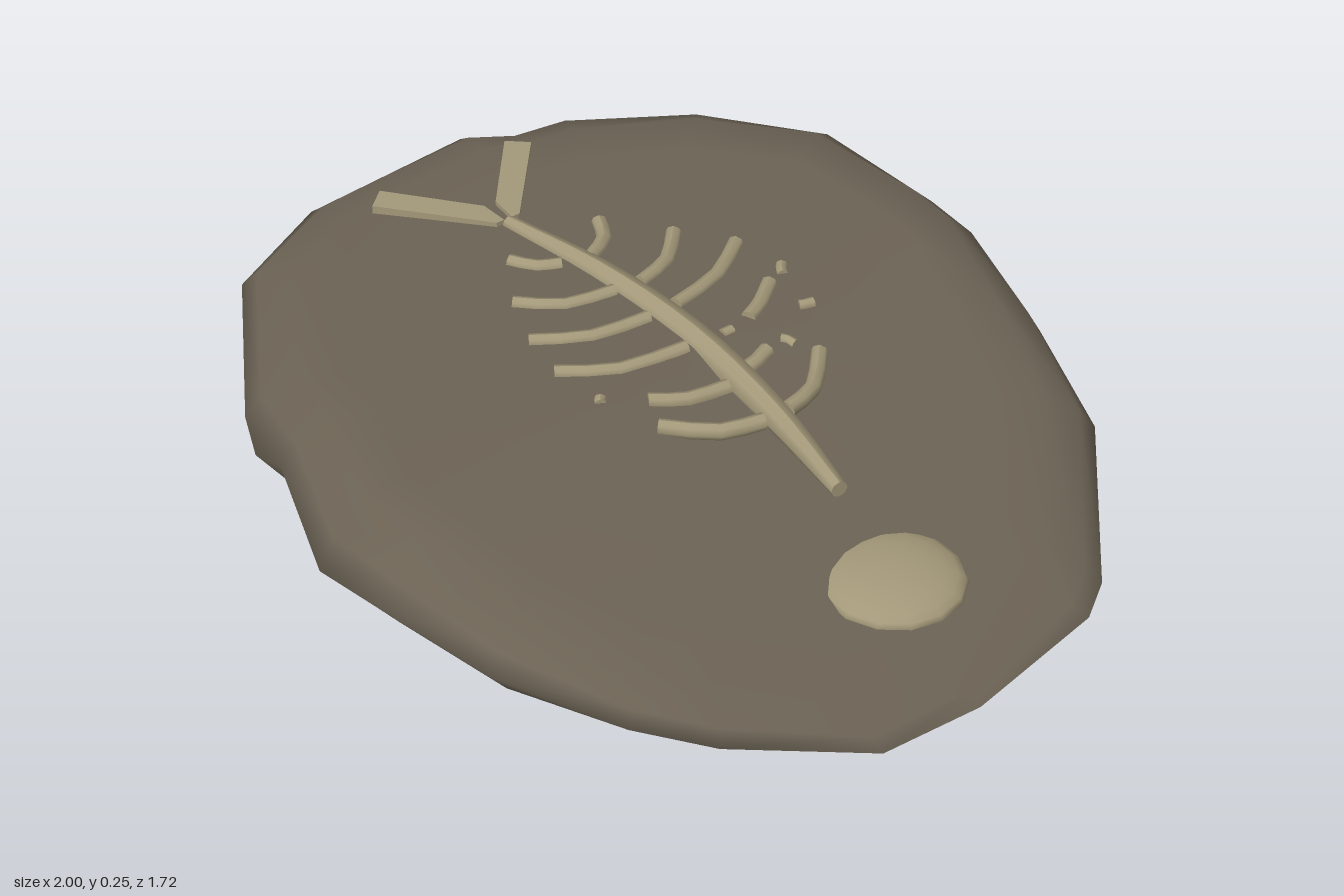
import * as THREE from 'three';

const stone = new THREE.MeshStandardMaterial({ color: 0x6b6254 });
stone.name = 'stone';
const bone = new THREE.MeshStandardMaterial({ color: 0xa39879 });
bone.name = 'bone';

// Slab outline: x, z and height of the rim
const outline = [
  [-0.52, -0.84, 0.1], [-0.17, -0.865, 0.07], [-0.02, -0.855, 0.07], [0.28, -0.76, 0.1],
  [0.56, -0.66, 0.07], [0.88, -0.39, 0.01], [0.94, -0.3, 0.01], [1, 0.03, 0.005],
  [0.99, 0.26, 0.01], [0.82, 0.51, 0.035], [0.7, 0.63, 0.06], [0.45, 0.765, 0.08],
  [0.15, 0.83, 0.08], [-0.01, 0.855, 0.07], [-0.3, 0.765, 0.1], [-0.48, 0.74, 0.1],
  [-0.86, 0.52, 0.12], [-0.98, 0.27, 0.14], [-1, -0.14, 0.16], [-0.95, -0.24, 0.14],
  [-0.93, -0.37, 0.14], [-0.77, -0.64, 0.12],
];

// Height of the slab's upper face
const crest = [[-1, 0.205], [-0.6, 0.212], [-0.1, 0.222], [0.05, 0.222], [0.3, 0.183],
  [0.6, 0.118], [0.7, 0.09], [0.85, 0.05], [1, 0.005]];
function topHeight(x, z) {
  let i = 0;
  while (i < crest.length - 2 && x > crest[i + 1][0]) i++;
  const [x0, y0] = crest[i], [x1, y1] = crest[i + 1];
  return y0 + (y1 - y0) * (x - x0) / (x1 - x0) - 0.025 * z * Math.min(1, 1.5 * (1 - x));
}

// Slab: rings from the centre out to the rim, then an undercut to the flat base
function slabGeometry() {
  const n = outline.length;
  const pos = [0, topHeight(0, 0), 0], index = [];
  const rings = [0.2, 0.4, 0.6, 0.75, 0.87, 0.96, 1];
  for (const t of rings) {
    const mix = t === 1 ? 1 : t > 0.9 ? 0.45 : 0;
    for (const [x, z, rim] of outline) {
      pos.push(x * t, THREE.MathUtils.lerp(topHeight(x * t, z * t), rim, mix), z * t);
    }
  }
  const base = [];
  for (const [x, z] of outline) {
    const s = z > 0.3 && x > -0.4 ? 0.93 : 0.985;
    base.push(x * s, 0, z * s);
  }
  pos.push(...base);
  for (let i = 0; i < n; i++) {
    const j = (i + 1) % n;
    index.push(0, 1 + j, 1 + i);
    for (let r = 0; r < rings.length; r++) {
      const a = 1 + r * n, b = a + n;
      index.push(a + i, a + j, b + j, a + i, b + j, b + i);
    }
  }
  // Base with its own vertices, for a sharp edge
  const start = pos.length / 3;
  pos.push(...base, 0, 0, 0);
  for (let i = 0; i < n; i++) index.push(start + n, start + i, start + (i + 1) % n);
  const g = new THREE.BufferGeometry();
  g.setAttribute('position', new THREE.Float32BufferAttribute(pos, 3));
  g.setIndex(index);
  g.computeVertexNormals();
  return g;
}

// Capped rod swept along a curve with a varying radius
function sweep(points, radius, steps) {
  const curve = new THREE.CatmullRomCurve3(points);
  const g = new THREE.CylinderGeometry(1, 1, 1, 8, steps);
  const p = g.attributes.position, up = new THREE.Vector3(0, 1, 0);
  for (let i = 0; i < p.count; i++) {
    const t = p.getY(i) + 0.5, r = radius(t);
    const side = curve.getTangent(t).cross(up).normalize();
    const v = curve.getPoint(t).addScaledVector(side, p.getX(i) * r).addScaledVector(up, p.getZ(i) * r);
    p.setXYZ(i, v.x, v.y, v.z);
  }
  g.computeVertexNormals();
  return g;
}

// Rib paths as x, z pairs, from the spine outwards; some are broken
const ribs = [
  [-0.38, -0.06, -0.42, -0.125, -0.48, -0.155], [-0.24, -0.09, -0.27, -0.18, -0.345, -0.255],
  [-0.13, -0.1, -0.16, -0.23, -0.23, -0.335], [0, -0.19, -0.025, -0.24, -0.07, -0.3],
  [0.12, -0.08, 0.115, -0.12, 0.1, -0.16], [0.27, -0.08, 0.245, -0.165, 0.16, -0.25],
  [-0.4, 0, -0.425, 0.045, -0.48, 0.08], [-0.25, -0.03, -0.275, 0.08, -0.35, 0.16],
  [-0.13, -0.03, -0.15, 0.1, -0.22, 0.21], [0, -0.03, -0.025, 0.12, -0.1, 0.23],
  [0.14, -0.03, 0.125, 0.06, 0.085, 0.13], [0.27, -0.02, 0.245, 0.07, 0.16, 0.16],
];
const fragments = [
  [-0.075, -0.34, -0.09, -0.348, -0.105, -0.36], [0.03, -0.3, 0.035, -0.31, 0.04, -0.33],
  [0.09, -0.205, 0.1, -0.215, 0.12, -0.22], [0.01, -0.115, 0.01, -0.125, 0.01, -0.14],
  [0.025, 0.205, 0.03, 0.21, 0.04, 0.215],
];

export function createModel() {
  const model = new THREE.Group();
  const add = (name, geometry, material, parent = model) => {
    const mesh = new THREE.Mesh(geometry, material);
    mesh.name = name;
    parent.add(mesh);
    return mesh;
  };
  add('stoneSlab', slabGeometry(), stone);

  const skeleton = new THREE.Group();
  skeleton.name = 'fishSkeleton';
  model.add(skeleton);

  // Arched spine, thickest in the middle
  const spine = [[-0.6, 0], [-0.33, -0.05], [-0.03, -0.07], [0.27, -0.048], [0.53, -0.002]]
    .map(([x, z]) => new THREE.Vector3(x, 0.209, z));
  add('spine', sweep(spine, t => 0.018 + 0.018 * Math.sin(Math.PI * t), 16), bone, skeleton);

  // Ribs resting on the stone
  const addRib = (name, [x0, z0, x1, z1, x2, z2], r) => {
    const pts = [[x0, z0], [x1, z1], [x2, z2]]
      .map(([x, z]) => new THREE.Vector3(x, Math.max(topHeight(x, z) - 0.004, 0.205), z));
    add(name, sweep(pts, () => r, 4), bone, skeleton);
  };
  ribs.forEach(path => addRib('rib', path, 0.018));
  fragments.forEach(path => addRib('ribFragment', path, 0.013));

  // Forked tail of two mirrored plates
  for (const s of [-1, 1]) {
    const shape = new THREE.Shape([[-0.6, 0.01], [-0.67, 0.015], [-0.855, 0.165], [-0.815, 0.21], [-0.6, 0.03]]
      .map(([x, z]) => new THREE.Vector2(x, -s * z)));
    const g = new THREE.ExtrudeGeometry(shape, { depth: 0.035, bevelEnabled: false });
    g.rotateX(-Math.PI / 2).translate(0, 0.187, 0);
    add('tailFin', g, bone, skeleton);
  }

  // Domed head with a flat underside
  const head = add('head', new THREE.SphereGeometry(1, 14, 6, 0, Math.PI * 2, 0, Math.PI / 2), bone, skeleton);
  head.scale.set(0.147, 0.042, 0.147);
  head.position.set(0.693, 0.087, -0.007);
  const under = add('headUnderside', new THREE.CircleGeometry(0.147, 14).rotateX(Math.PI / 2), bone, skeleton);
  under.position.copy(head.position);
  return model;
}
